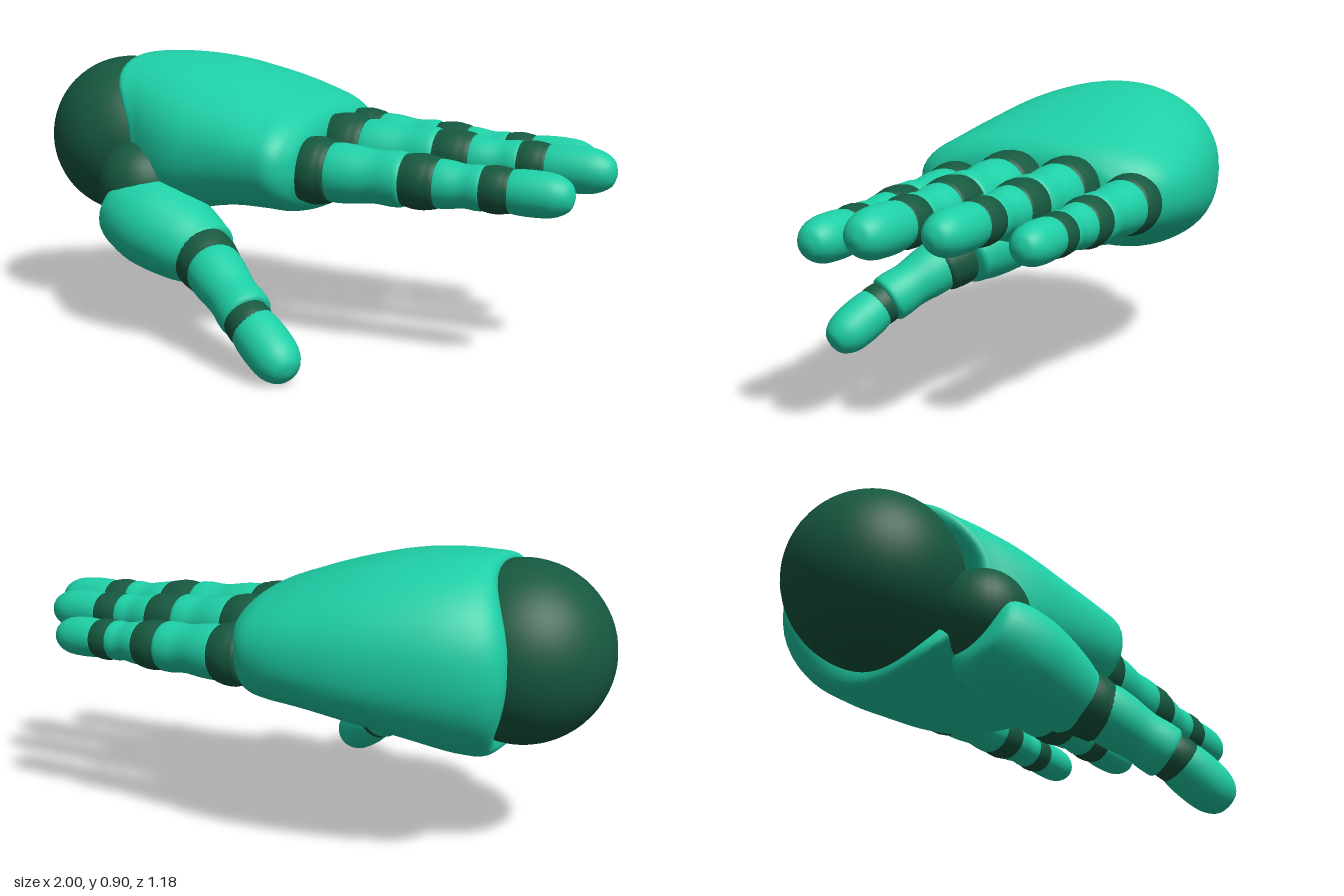
import * as THREE from 'three';

const skin = new THREE.MeshStandardMaterial({ color: 0x1ecfa6 });
const dark = new THREE.MeshStandardMaterial({ color: 0x16583f });

// Profiles: [position along the part, relative radius]
const SEGMENT = [[0, 0], [0.005, 0.78], [0.07, 0.98], [0.3, 0.98], [0.6, 0.88], [0.85, 0.92], [0.98, 0.8], [1, 0]];
const TIP = [[0, 0], [0.01, 0.78], [0.1, 0.95], [0.4, 1], [0.72, 0.92], [0.92, 0.62], [0.985, 0.25], [1, 0]];
const JOINT = [[0, 0], [0.01, 0.8], [0.25, 0.96], [0.5, 1], [0.75, 0.96], [0.99, 0.8], [1, 0]];
const THENAR = [[0, 0], [0.01, 0.72], [0.12, 0.96], [0.4, 1.06], [0.7, 0.95], [0.9, 0.8], [0.99, 0.66], [1, 0]];

// Turned part running from a to b; r is its half height, wide stretches it sideways
function turned(name, profile, a, b, r, material, wide = 1) {
  const from = new THREE.Vector3(...a), to = new THREE.Vector3(...b);
  const dir = to.clone().sub(from), length = dir.length();
  dir.normalize();
  const points = new THREE.SplineCurve(profile.map(([t, k]) => new THREE.Vector2(k * r, t * length))).getPoints(28);
  points.forEach(p => { p.x = Math.max(p.x, 0); p.y = THREE.MathUtils.clamp(p.y, 0, length); });
  const geometry = new THREE.LatheGeometry(points, 28);
  const side = new THREE.Vector3().crossVectors(dir, new THREE.Vector3(0, 1, 0)).normalize();
  const up = new THREE.Vector3().crossVectors(dir, side);
  geometry.scale(1, 1, wide);
  geometry.applyMatrix4(new THREE.Matrix4().makeBasis(up, dir, side).setPosition(from));
  const mesh = new THREE.Mesh(geometry, material);
  mesh.name = name;
  return mesh;
}

function catmull(a, b, c, d, t) {
  return 0.5 * (2 * b + (c - a) * t + (2 * a - 5 * b + 4 * c - d) * t * t + (3 * b - a - 3 * c + d) * t ** 3);
}

// Palm: rounded sections lofted from wrist to knuckles
function createPalm() {
  // x, zMin, zMax, yBottom, yTop, hollow of the palm, sweep of the wrist opening
  const sections = [
    [-0.62, -0.2, 0.02, 0.5, 0.7, 0, 1],
    [-0.68, -0.385, 0.175, 0.315, 0.865, 0, 1],
    [-0.6, -0.49, 0.215, 0.3, 0.895, 0, 0.7],
    [-0.4, -0.565, 0.265, 0.325, 0.885, 0.05, 0.15],
    [-0.2, -0.585, 0.29, 0.36, 0.84, 0.07, 0],
    [-0.06, -0.568, 0.305, 0.38, 0.795, 0.04, 0],
    [0.01, -0.525, 0.305, 0.39, 0.77, 0.02, 0],
    [0.055, -0.46, 0.265, 0.425, 0.74, 0, 0],
    [0.08, -0.38, 0.18, 0.48, 0.69, 0, 0],
    [0.085, -0.11, -0.11, 0.6, 0.6, 0, 0],
  ];
  const steps = 6, around = 56, positions = [], index = [];
  const at = i => sections[THREE.MathUtils.clamp(i, 0, sections.length - 1)];
  const rings = (sections.length - 1) * steps;
  for (let i = 0; i <= rings; i++) {
    const k = Math.min(Math.floor(i / steps), sections.length - 2), t = i / steps - k;
    const [x, z0, z1, y0, y1, hollow, sweep] = at(k).map((v, n) => catmull(at(k - 1)[n], v, at(k + 1)[n], at(k + 2)[n], t));
    const zc = (z0 + z1) / 2, hz = (z1 - z0) / 2;
    for (let j = 0; j < around; j++) {
      const a = j / around * Math.PI * 2, c = Math.cos(a), s = Math.sin(a);
      const z = zc + hz * Math.sign(c) * Math.abs(c) ** 0.9;
      const sy = Math.sign(s) * Math.abs(s) ** 0.9;
      let y = 0.6 + sy * (s > 0 ? y1 - 0.6 : 0.6 - y0);
      if (s < 0) y += hollow * s ** 4;
      // The opening reaches back on the outer side and is cut away above the thumb
      const shift = sweep * (c > 0 ? 0.13 * c ** 4 : -0.11 * c ** 2);
      positions.push(x + shift, y, z);
      if (i < rings) {
        const p = i * around + j, q = i * around + (j + 1) % around;
        index.push(p, p + around, q, q, p + around, q + around);
      }
    }
  }
  const geometry = new THREE.BufferGeometry();
  geometry.setAttribute('position', new THREE.Float32BufferAttribute(positions, 3));
  geometry.setIndex(index);
  geometry.computeVertexNormals();
  const mesh = new THREE.Mesh(geometry, skin);
  mesh.name = 'palm';
  return mesh;
}

// Finger: alternating dark joints and segments; stops are x positions along it
function createFinger(name, stops, y, z, size, drift) {
  const finger = new THREE.Group();
  finger.name = name;
  const radii = [0.108, 0.095, 0.087, 0.076, 0.073, 0.07];
  const names = ['knuckle', 'lowerSegment', 'middleJoint', 'middleSegment', 'endJoint', 'fingertip'];
  const first = stops[0], last = stops[6];
  const point = x => {
    const t = (x - first) / (last - first);
    return [x, y - 0.02 * t, z + drift * t];
  };
  names.forEach((part, i) => {
    const joint = i % 2 === 0, lap = joint ? 0.025 : 0;
    const profile = joint ? JOINT : i === 5 ? TIP : SEGMENT;
    finger.add(turned(part, profile, point(stops[i] - lap), point(stops[i + 1] + lap), radii[i] * size, joint ? dark : skin));
  });
  return finger;
}

function createThumb() {
  const thumb = new THREE.Group();
  thumb.name = 'thumb';
  const root = new THREE.Mesh(new THREE.SphereGeometry(0.145, 32, 20), dark);
  root.name = 'thumbRoot';
  root.position.set(-0.525, 0.485, 0.165);
  thumb.add(
    root,
    turned('thumbBase', THENAR, [-0.575, 0.415, 0.185], [-0.2, 0.29, 0.28], 0.14, skin, 1.1),
    turned('thumbKnuckle', JOINT, [-0.265, 0.318, 0.268], [-0.14, 0.255, 0.34], 0.102, dark),
    turned('thumbSegment', SEGMENT, [-0.175, 0.28, 0.325], [0.03, 0.16, 0.45], 0.092, skin),
    turned('thumbEndJoint', JOINT, [-0.005, 0.175, 0.435], [0.085, 0.125, 0.49], 0.075, dark),
    turned('thumbTip', TIP, [0.045, 0.148, 0.465], [0.215, 0.035, 0.545], 0.079, skin),
  );
  return thumb;
}

export function createModel() {
  const hand = new THREE.Group();
  hand.name = 'hand';

  const wrist = new THREE.Mesh(new THREE.SphereGeometry(0.275, 48, 32), dark);
  wrist.name = 'wristBall';
  wrist.position.set(-0.725, 0.6, -0.09);

  hand.add(
    wrist,
    createPalm(),
    createFinger('indexFinger', [0.07, 0.14, 0.41, 0.49, 0.66, 0.72, 0.925], 0.57, 0.123, 1, -0.012),
    createFinger('middleFinger', [0.07, 0.17, 0.44, 0.53, 0.71, 0.77, 0.997], 0.615, -0.08, 1.05, -0.013),
    createFinger('ringFinger', [0.06, 0.145, 0.37, 0.45, 0.61, 0.67, 0.895], 0.615, -0.275, 0.98, 0.01),
    createFinger('littleFinger', [0.01, 0.07, 0.31, 0.37, 0.51, 0.55, 0.735], 0.575, -0.46, 0.9, 0.02),
    createThumb(),
  );
  return hand;
}
